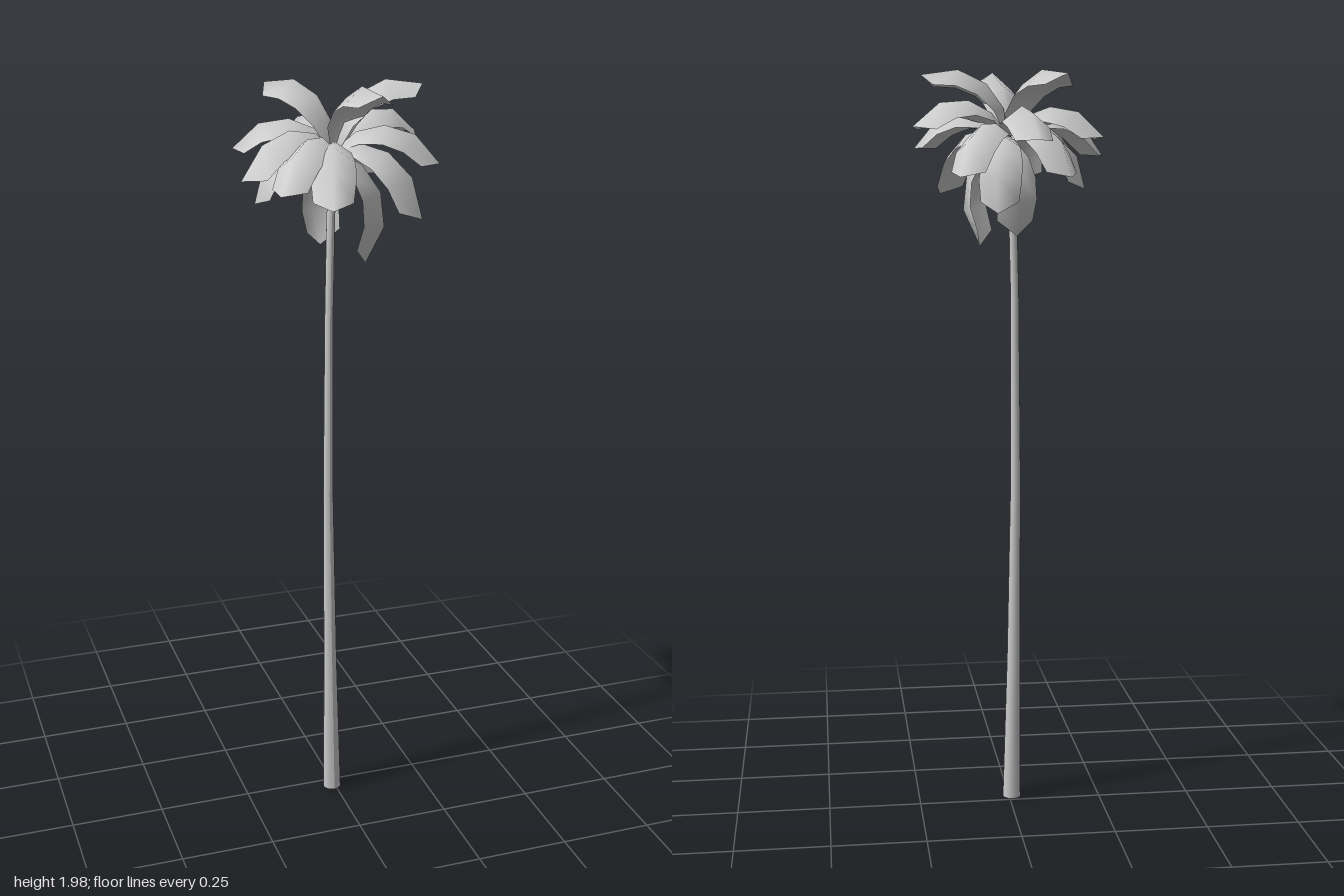
import * as THREE from 'three';

const material = new THREE.MeshStandardMaterial({ color: 0xcccccc, side: THREE.DoubleSide });
const CROWN = new THREE.Vector3(0.005, 1.815, 0.012);

// Frond tips, from the upright upper ring to the hanging lower leaves
const TIPS = [
  [0.23, 1.97, 0.03], [0.05, 1.97, 0.235], [-0.125, 1.965, -0.165],
  [-0.04, 1.8, -0.26], [0.26, 1.835, -0.098], [-0.262, 1.765, 0.1],
  [-0.225, 1.81, -0.115], [-0.19, 1.74, 0.195],
  [0.148, 1.71, -0.198], [0.242, 1.785, 0.125], [0.168, 1.665, 0.202],
  [-0.08, 1.71, 0.255], [-0.13, 1.71, -0.207], [-0.19, 1.68, -0.04],
  [0.05, 1.62, -0.155], [0.075, 1.53, 0.05], [-0.01, 1.56, -0.06],
];

// Rows along a frond: position of midrib, position of edges, half width, edge droop
const ROWS = [
  [0, 0, 0.016, 0.008],
  [0.22, 0.22, 0.042, 0.028],
  [0.45, 0.45, 0.053, 0.04],
  [0.7, 0.69, 0.055, 0.044],
  [1, 0.93, 0.049, 0.038],
];

// An arched leaf with a roof-shaped section, from the crown to its tip
function createFrond(tip) {
  const u = new THREE.Vector3(...tip).sub(CROWN);
  const length = u.length();
  const azimuth = Math.atan2(u.z, u.x);
  const side = new THREE.Vector3(-Math.sin(azimuth), 0, Math.cos(azimuth));
  u.normalize();
  const n = new THREE.Vector3().crossVectors(side, u);
  const bend = 1.05;
  const place = (t, across, drop) => {
    const s = (2 * t - 1) * bend;
    const k = length / (2 * Math.sin(bend));
    const along = k * (Math.sin(s) + Math.sin(bend)) - drop * Math.sin(s);
    const up = k * (Math.cos(s) - Math.cos(bend)) - drop * Math.cos(s);
    return CROWN.clone().addScaledVector(u, along).addScaledVector(n, up).addScaledVector(side, across);
  };
  const points = [];
  const index = [];
  ROWS.forEach(([mid, edge, half, drop], i) => {
    points.push(place(edge, -half, drop), place(mid, 0, 0), place(edge, half, drop));
    if (i === ROWS.length - 1) return;
    for (let j = 0; j < 2; j++) {
      const a = i * 3 + j;
      index.push(a, a + 1, a + 3, a + 1, a + 4, a + 3);
    }
  });
  const geometry = new THREE.BufferGeometry().setFromPoints(points);
  geometry.setIndex(index);
  geometry.computeVertexNormals();
  return new THREE.Mesh(geometry, material);
}

// Tapering trunk with a slight curve: y, centre x, centre z, radius
function createTrunk() {
  const rings = [
    [0, -0.008, 0.03, 0.025], [0.4, -0.013, 0.03, 0.018], [0.9, -0.018, 0.028, 0.0135],
    [1.4, -0.015, 0.026, 0.011], [1.65, -0.009, 0.023, 0.011], [1.81, 0.004, 0.014, 0.011],
  ];
  const sides = 12;
  const geometry = new THREE.CylinderGeometry(1, 1, 1, sides, rings.length - 1);
  const p = geometry.attributes.position;
  for (let i = 0; i < p.count; i++) {
    const [y, x, z, r] = rings[Math.round((p.getY(i) + 0.5) * (rings.length - 1))];
    p.setXYZ(i, x + p.getX(i) * r, y, z + p.getZ(i) * r);
  }
  geometry.computeVertexNormals();
  const trunk = new THREE.Mesh(geometry, material);
  trunk.name = 'trunk';
  return trunk;
}

export function createModel() {
  const model = new THREE.Group();
  model.name = 'palmTree';
  model.add(createTrunk());

  // Crown of fronds
  const crown = new THREE.Group();
  crown.name = 'crown';
  TIPS.forEach((tip, i) => {
    const frond = createFrond(tip);
    frond.name = `frond${i + 1}`;
    crown.add(frond);
  });
  model.add(crown);
  return model;
}
